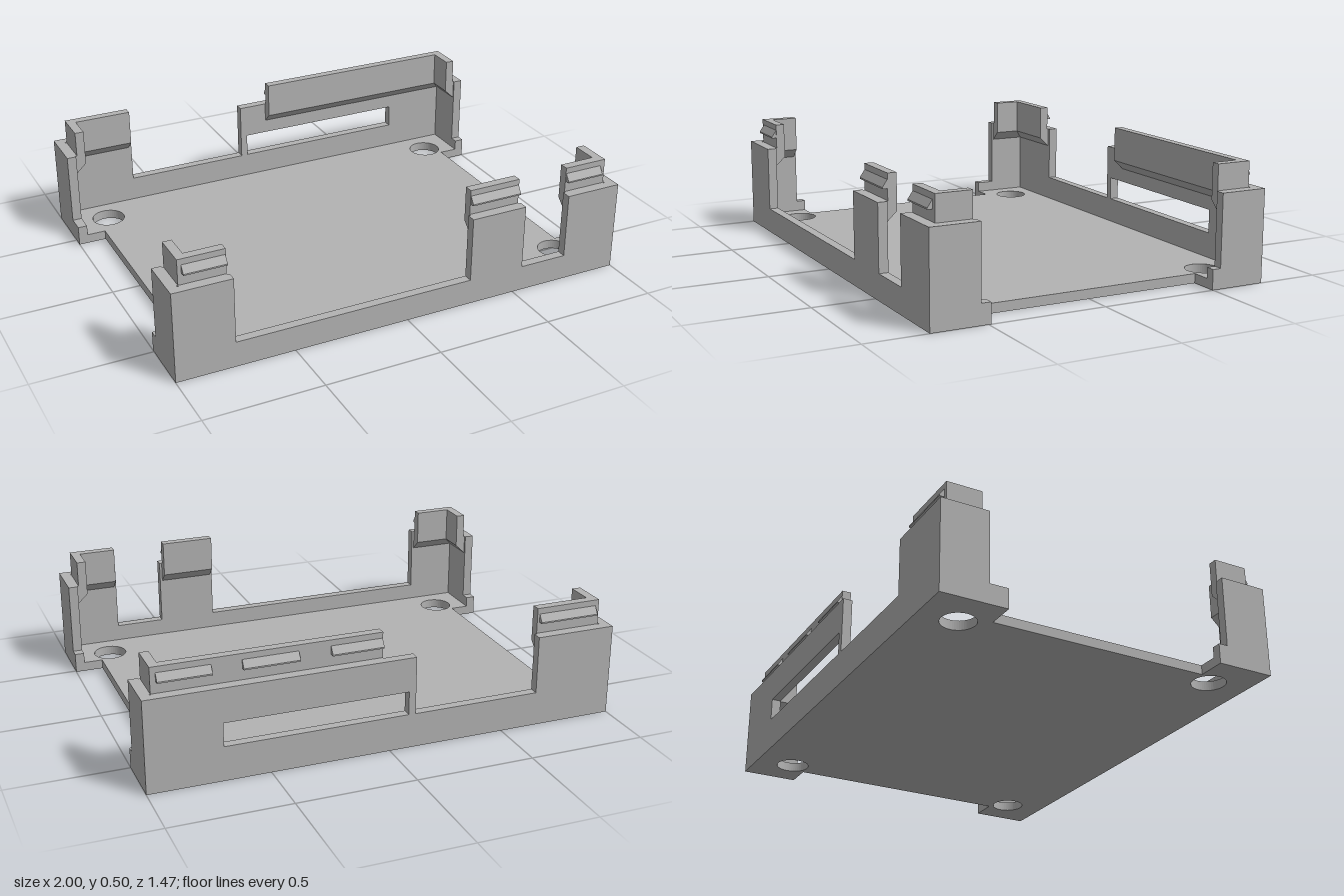
import * as THREE from 'three';

const FLOOR = 0.04, WALL = 0.04, POST = 0.39, X = 1, Z = 0.737;
// Rotation about y that turns a profile's +x towards each outer side
const TURN = { left: 0, right: Math.PI, front: -Math.PI / 2, back: Math.PI / 2 };

const polygon = (pts) => new THREE.Shape(pts.map(([x, y]) => new THREE.Vector2(x, y)));

const extrude = (shape, depth) =>
  new THREE.ExtrudeGeometry(shape, { depth, bevelEnabled: false, curveSegments: 24 });

export function createModel() {
  const model = new THREE.Group();
  model.name = 'snapFitTray';
  const grey = new THREE.MeshStandardMaterial({ color: 0xb2b2b2 });
  grey.name = 'grey plastic';

  const add = (name, geometry) => {
    const mesh = new THREE.Mesh(geometry, grey);
    mesh.name = name;
    model.add(mesh);
    return mesh;
  };

  const box = (name, x0, x1, y0, y1, z0, z1) => {
    add(name, new THREE.BoxGeometry(x1 - x0, y1 - y0, z1 - z0))
      .position.set((x0 + x1) / 2, (y0 + y1) / 2, (z0 + z1) / 2);
  };

  // Profile of (outward, y) points, run from a to b along one side
  const rail = (name, side, pts, a, b) => {
    const geometry = extrude(polygon(pts), b - a);
    geometry.translate(0, 0, -(b - a) / 2);
    geometry.rotateY(TURN[side]);
    const mid = (a + b) / 2;
    if (side === 'front' || side === 'back') geometry.translate(mid, 0, 0);
    else geometry.translate(0, 0, mid);
    add(name, geometry);
  };

  // Upright tab with a chamfered foot, fixed to the inside of a wall
  const tab = (side, a, b) => {
    const w = (side === 'front' || side === 'back' ? Z : X) - WALL;
    rail(side + 'Tab', side, [
      [w, 0.305], [w, POST], [w - 0.006, POST], [w - 0.006, 0.498],
      [w - 0.044, 0.498], [w - 0.044, 0.347],
    ], a, b);
  };

  // Wedge-shaped catch on the outside of a tab
  const catchRidge = (side, a, b) => rail(side + 'Catch', side,
    [[0.688, 0.437], [0.712, 0.437], [0.712, 0.443], [0.691, 0.473], [0.688, 0.473]], a, b);

  // Floor with notched sides and four round holes
  const floor = polygon([
    [-X, -Z], [X, -Z], [X, -0.49], [0.88, -0.49], [0.88, 0.497], [X, 0.497],
    [X, Z], [-X, Z], [-X, 0.455], [-0.88, 0.455], [-0.88, -0.49], [-X, -0.49],
  ]);
  for (const x of [-0.825, 0.825]) for (const z of [-0.57, 0.563]) {
    const hole = new THREE.Path();
    hole.absarc(x, -z, 0.071, 0, Math.PI * 2, true);
    floor.holes.push(hole);
  }
  add('floor', extrude(floor, FLOOR).rotateX(-Math.PI / 2));

  // Front wall with three posts
  const front = polygon([
    [-X, FLOOR], [X, FLOOR], [X, POST], [0.75, POST], [0.75, 0.11], [0.54, 0.11],
    [0.54, POST], [0.29, POST], [0.29, 0.11], [-0.75, 0.11], [-0.75, POST], [-X, POST],
  ]);
  add('frontWall', extrude(front, WALL)).position.z = Z - WALL;

  // Back wall with a raised stretch and a long window
  const back = polygon([
    [-X, FLOOR], [X, FLOOR], [X, POST], [-0.11, POST], [-0.11, 0.145],
    [-0.655, 0.145], [-0.655, POST], [-X, POST],
  ]);
  back.holes.push(new THREE.Path([[-0.08, 0.146], [-0.08, 0.245], [0.69, 0.245], [0.69, 0.146]]
    .map(([x, y]) => new THREE.Vector2(x, y))));
  add('backWall', extrude(back, WALL)).position.z = -Z;

  // Corner returns along the sides, each with a low lip and an inner tab
  for (const s of [-1, 1]) {
    const side = s > 0 ? 'left' : 'right';
    const x0 = s > 0 ? X - WALL : -X, x1 = x0 + WALL;
    const lipEnd = s > 0 ? -0.497 : -0.455;
    box(side + 'FrontReturn', x0, x1, FLOOR, POST, 0.53, Z - WALL);
    box(side + 'BackReturn', x0, x1, FLOOR, POST, -(Z - WALL), -0.533);
    box(side + 'FrontLip', x0, x1, FLOOR, 0.085, 0.49, 0.53);
    box(side + 'BackLip', x0, x1, FLOOR, 0.085, -0.533, lipEnd);
    tab(side, 0.54, 0.691);
    tab(side, -0.691, -0.54);
  }

  // Front and back tabs with their catches
  for (const [a, b] of [[-0.954, -0.76], [0.3, 0.53], [0.76, 0.954]]) tab('front', a, b);
  for (const [a, b] of [[-0.954, -0.668], [0.017, 0.954]]) tab('back', a, b);
  for (const [a, b] of [[-0.938, -0.762], [0.302, 0.528], [0.762, 0.932]]) catchRidge('front', a, b);
  for (const [a, b] of [[-0.938, -0.678], [0.019, 0.235], [0.367, 0.595], [0.717, 0.932]]) {
    catchRidge('back', a, b);
  }
  return model;
}
